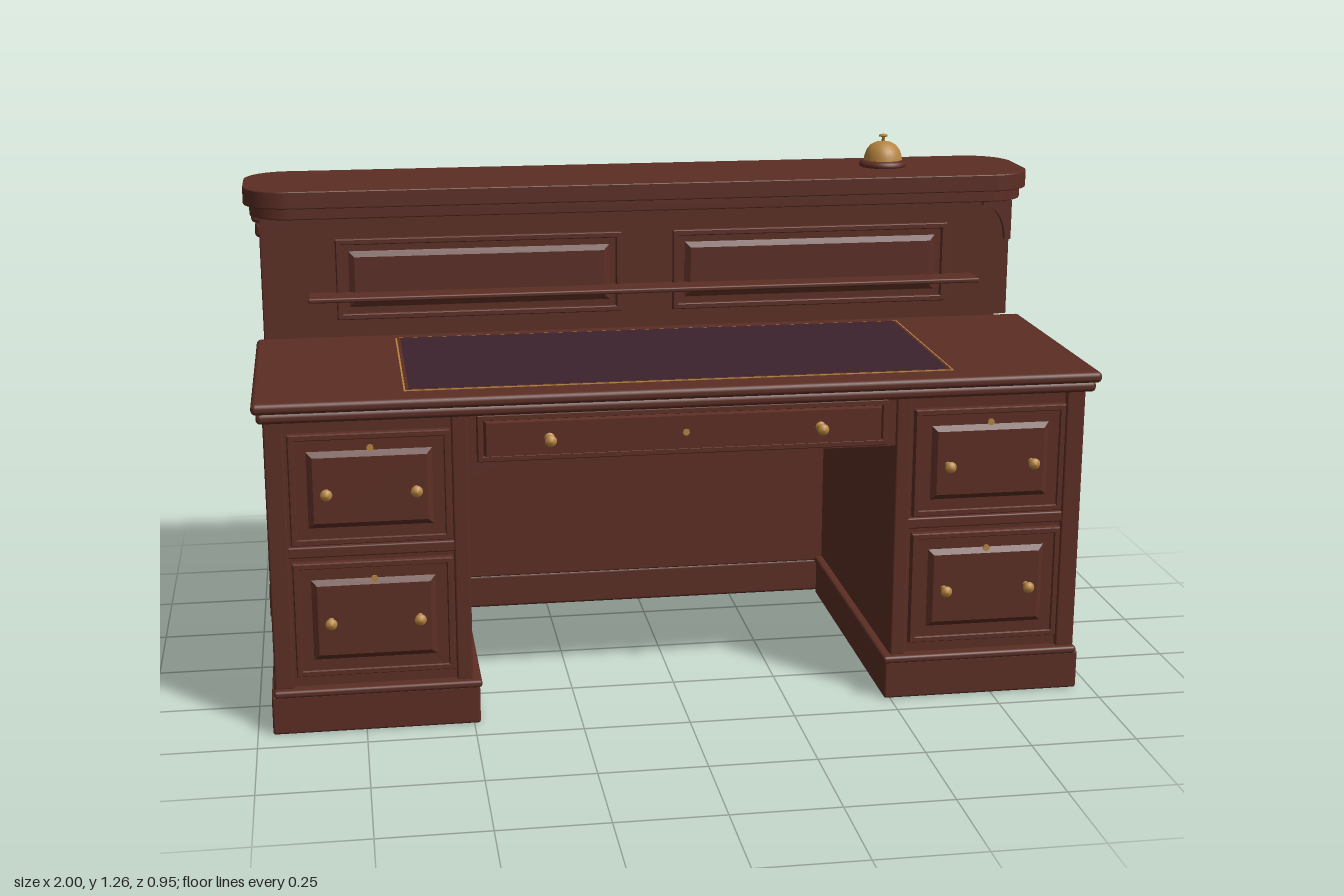
import * as THREE from 'three';
import { RoundedBoxGeometry } from 'three/addons/geometries/RoundedBoxGeometry.js';

const flat = (name, color) => Object.assign(new THREE.MeshStandardMaterial({ color }), { name });

export function createModel() {
  const wood = flat('mahogany', 0x5c2e24);
  const leather = flat('plum leather', 0x3d232f);
  const brass = flat('brass', 0xb5843f);
  const root = new THREE.Group();
  root.name = 'receptionDesk';

  const add = (parent, name, geometry, material = wood) => {
    const mesh = new THREE.Mesh(geometry, material);
    mesh.name = name;
    parent.add(mesh);
    return mesh;
  };
  // Box given by its limits on each axis, optionally with rounded edges
  const box = (parent, name, [x0, x1], [y0, y1], [z0, z1], r = 0, material = wood) => {
    const s = [x1 - x0, y1 - y0, z1 - z0];
    const g = r ? new RoundedBoxGeometry(...s, 3, r) : new THREE.BoxGeometry(...s);
    const m = add(parent, name, g, material);
    m.position.set((x0 + x1) / 2, (y0 + y1) / 2, (z0 + z1) / 2);
    return m;
  };
  const rectangle = (w, h, Type = THREE.Shape) => new Type([
    [-w / 2, -h / 2], [w / 2, -h / 2], [w / 2, h / 2], [-w / 2, h / 2],
  ].map(([x, y]) => new THREE.Vector2(x, y)));
  // Rectangular board with chamfered edges, standing d proud of z = 0
  const chamfered = (w, h, d, b) => new THREE.ExtrudeGeometry(rectangle(w - 2 * b, h - 2 * b), {
    depth: 0.001, bevelThickness: d, bevelSize: b, bevelSegments: 1,
  });
  // Thin raised moulding around an opening
  const moulding = (w, h, t, d) => {
    const shape = rectangle(w - 0.006, h - 0.006);
    shape.holes.push(rectangle(w - 2 * t + 0.006, h - 2 * t + 0.006, THREE.Path));
    return new THREE.ExtrudeGeometry(shape, {
      depth: 0.001, bevelThickness: d, bevelSize: 0.003, bevelSegments: 2,
    });
  };
  // Moulded frame with a raised field, facing +z
  const panel = (parent, name, w, h, margin, d = 0.008) => {
    const g = new THREE.Group();
    g.name = name;
    add(g, 'panelMoulding', moulding(w, h, 0.016, d));
    add(g, 'raisedField', chamfered(w - 2 * margin, h - 2 * margin, d, 0.014));
    parent.add(g);
    return g;
  };

  // Brass fittings
  const knobProfile = [[0, 0], [0.012, 0], [0.012, 0.003], [0.005, 0.006], [0.005, 0.018],
    [0.012, 0.024], [0.014, 0.03], [0.011, 0.037], [0, 0.04]].map(p => new THREE.Vector2(...p));
  const knobGeometry = new THREE.LatheGeometry(knobProfile, 16).rotateX(Math.PI / 2);
  const knob = (x, y, z) => add(root, 'drawerKnob', knobGeometry, brass).position.set(x, y, z);
  const keyhole = (x, y, z) => {
    const m = add(root, 'keyPlate', new THREE.CylinderGeometry(0.008, 0.008, 0.004, 12).rotateX(Math.PI / 2), brass);
    m.position.set(x, y, z);
  };

  // Pedestals, mirrored left and right
  for (const s of [-1, 1]) {
    const side = s > 0 ? 'left' : 'right';
    const span = (a, b) => (s > 0 ? [a, b] : [-b, -a]);
    const ped = new THREE.Group();
    ped.name = side + 'Pedestal';
    root.add(ped);
    box(ped, 'cabinet', span(0.5, 0.95), [0.1, 0.75], [-0.325, 0.405]);
    box(ped, 'plinth', span(0.485, 0.965), [0, 0.095], [-0.325, 0.43], 0.006);
    box(ped, 'plinthCap', span(0.48, 0.96), [0.09, 0.108], [-0.325, 0.435], 0.007);
    box(ped, 'innerPilaster', span(0.5, 0.537), [0.105, 0.75], [0.38, 0.418], 0.005);
    box(ped, 'outerPilaster', span(0.912, 0.957), [0.105, 0.75], [0.385, 0.418], 0.005);
    box(ped, 'rearStile', span(0.91, 0.957), [0.105, 0.75], [-0.345, -0.3], 0.005);
    box(ped, 'drawerRail', span(0.53, 0.915), [0.422, 0.448], [0.39, 0.416], 0.004);

    // Drawer fronts
    for (const [y, h] of [[0.588, 0.262], [0.278, 0.275]]) {
      const front = panel(ped, 'drawerFront', 0.365, h, 0.04, 0.011);
      add(front, 'drawerBoard', chamfered(0.355, h - 0.01, 0.015, 0.006));
      front.position.set(s * 0.723, y, 0.415);
      front.children[1].position.z = 0.014;
      front.children[0].position.z = 0.009;
      for (const x of [0.62, 0.822]) knob(s * x, y - (h > 0.27 ? 0 : 0.003), 0.436);
      keyhole(s * 0.721, y + 0.097, 0.441);
    }

    // Side panels
    for (const z of [0.198, -0.137]) {
      const p = panel(ped, 'sidePanel', 0.29, 0.515, 0.03);
      p.position.set(s * 0.95, 0.432, z);
      p.rotation.y = s * Math.PI / 2;
    }

    // Curved bracket under the cornice
    const arc = new THREE.Shape();
    arc.moveTo(0, 0);
    arc.lineTo(0.015, 0);
    arc.quadraticCurveTo(0.02, 0.08, 0.075, 0.088);
    arc.lineTo(0.075, 0.1);
    arc.lineTo(0, 0.1);
    arc.closePath();
    const bracket = add(root, side + 'CorniceBracket',
      new THREE.ExtrudeGeometry(arc, { depth: 0.02, bevelEnabled: false }));
    bracket.position.set(s * 0.945, 1, s > 0 ? -0.165 : -0.185);
    bracket.rotation.y = s > 0 ? Math.PI : 0;
  }

  // Centre drawer over the knee space
  box(root, 'centreApron', [-0.5, 0.5], [0.628, 0.75], [-0.3, 0.41]);
  const centre = panel(root, 'centreDrawer', 0.96, 0.112, 0.02, 0.01);
  centre.position.set(0, 0.688, 0.41);
  add(centre, 'drawerBoard', chamfered(0.93, 0.09, 0.02, 0.006));
  for (const x of [-0.315, 0.315]) knob(x, 0.688, 0.43);
  keyhole(0, 0.688, 0.431);

  // Desk top, leather inlay and gilt edging
  box(root, 'deskTopLower', [-0.97, 0.97], [0.75, 0.776], [-0.18, 0.455], 0.011);
  box(root, 'deskTopUpper', [-0.98, 0.98], [0.774, 0.8], [-0.18, 0.465], 0.011);
  box(root, 'giltEdging', [-0.64, 0.64], [0.798, 0.802], [-0.13, 0.393], 0, brass);
  box(root, 'edgingInset', [-0.636, 0.636], [0.798, 0.8025], [-0.126, 0.389]);
  box(root, 'leatherInlay', [-0.628, 0.628], [0.798, 0.804], [-0.12, 0.382], 0, leather);

  // Upper counter body, panels and ledge
  box(root, 'counterBody', [-0.945, 0.945], [0.8, 1.105], [-0.33, -0.182]);
  for (const s of [-1, 1]) {
    panel(root, 'counterPanel', 0.715, 0.205, 0.032).position.set(s * 0.422, 0.943, -0.182);
  }
  box(root, 'penLedge', [-0.85, 0.85], [0.899, 0.911], [-0.19, -0.11], 0.004);

  // Cornice with rounded corners
  const slab = (name, x, z0, z1, r, y, h) => {
    const sh = new THREE.Shape();
    sh.moveTo(-x + r, z0);
    sh.lineTo(x - r, z0);
    sh.absarc(x - r, z0 + r, r, -Math.PI / 2, 0);
    sh.absarc(x - r, z1 - r, r, 0, Math.PI / 2);
    sh.absarc(-x + r, z1 - r, r, Math.PI / 2, Math.PI);
    sh.absarc(-x + r, z0 + r, r, Math.PI, Math.PI * 1.5);
    const g = new THREE.ExtrudeGeometry(sh, {
      depth: h - 0.006, bevelThickness: 0.003, bevelSize: 0.003, bevelOffset: -0.003,
      bevelSegments: 2, curveSegments: 16,
    });
    add(root, name, g.rotateX(-Math.PI / 2)).position.y = y + 0.003;
  };
  slab('corniceLower', 0.985, 0.15, 0.45, 0.1, 1.1, 0.032);
  slab('corniceTop', 1, 0.14, 0.47, 0.11, 1.128, 0.044);

  // Back wall: board, rails, posts and six panels
  box(root, 'backBoard', [-0.955, 0.955], [0.105, 1.1], [-0.352, -0.325]);
  box(root, 'backPlinth', [-0.97, 0.97], [0, 0.09], [-0.39, -0.347], 0.008);
  box(root, 'backPlinthCap', [-0.96, 0.96], [0.085, 0.108], [-0.375, -0.347], 0.006);
  for (const [y0, y1] of [[0.105, 0.2], [0.605, 0.675], [1.055, 1.1]]) {
    box(root, 'backRail', [-0.94, 0.94], [y0, y1], [-0.36, -0.345]);
  }
  for (const x of [-0.935, -0.312, 0.312, 0.935]) {
    const part = (name, w, y, z, r) => box(root, name, [x - w, x + w], y, [z, -0.347], r);
    part('backPost', 0.032, [0.1, 1.1], -0.376, 0.004);
    part('postFoot', 0.05, [0, 0.088], -0.393, 0.008);
    part('postBase', 0.048, [0.105, 0.158], -0.386, 0.012);
    part('postNeck', 0.042, [1.022, 1.062], -0.386, 0.012);
    part('postCapital', 0.05, [1.06, 1.095], -0.397, 0.012);
  }
  for (const x of [-0.624, 0, 0.624]) {
    for (const y of [0.402, 0.865]) {
      const p = panel(root, 'backPanel', 0.5, 0.39, 0.032, 0.011);
      p.position.set(x, y, -0.352);
      p.rotation.y = Math.PI;
    }
  }

  // Counter bell
  const bell = new THREE.Group();
  bell.name = 'counterBell';
  bell.position.set(0.643, 1.17, -0.327);
  root.add(bell);
  const lathe = (name, points, material) => add(bell, name,
    new THREE.LatheGeometry(points.map(p => new THREE.Vector2(...p)), 32), material);
  lathe('bellBase', [[0, 0], [0.058, 0], [0.062, 0.006], [0.06, 0.013], [0.052, 0.019], [0, 0.019]], wood);
  lathe('bellDome', [[0.05, 0.018], [0.048, 0.03], [0.043, 0.044], [0.034, 0.056], [0.02, 0.064], [0, 0.067]], brass);
  lathe('bellButton', [[0.004, 0.06], [0.004, 0.077], [0.011, 0.079], [0.011, 0.083], [0, 0.086]], brass);
  return root;
}
